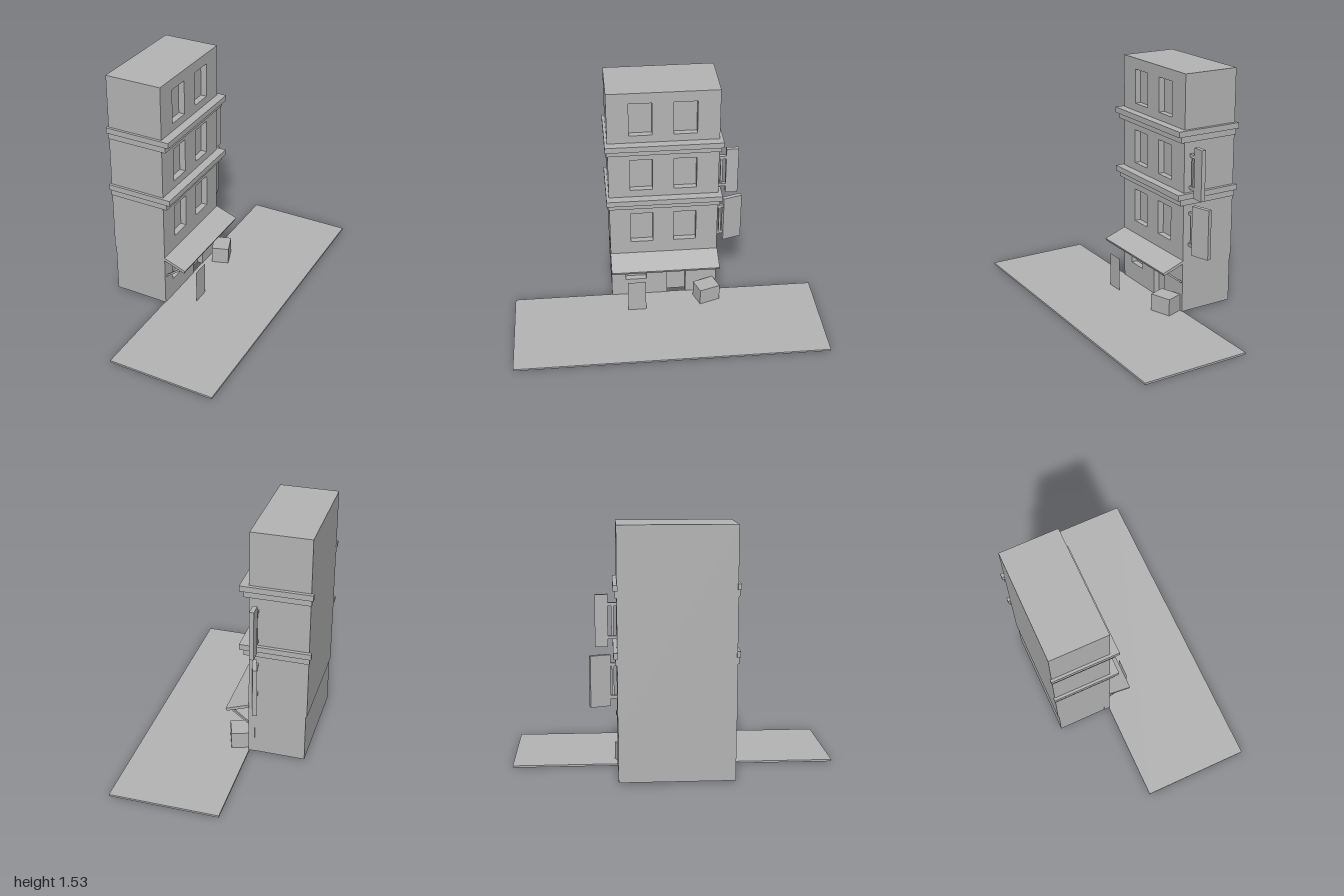
import * as THREE from 'three';

export function createModel() {
  const model = new THREE.Group();
  const grey = new THREE.MeshStandardMaterial({ color: 0xb4b4b4 });
  grey.name = 'plainGrey';
  grey.side = THREE.DoubleSide;

  const add = (name, geometry, parent = model) => {
    const mesh = new THREE.Mesh(geometry, grey);
    mesh.name = name;
    parent.add(mesh);
    return mesh;
  };
  // Box given by its extents on each axis
  const box = (name, x0, x1, y0, y1, z0, z1, parent) => {
    const mesh = add(name, new THREE.BoxGeometry(x1 - x0, y1 - y0, z1 - z0), parent);
    mesh.position.set((x0 + x1) / 2, (y0 + y1) / 2, (z0 + z1) / 2);
    return mesh;
  };
  // Outline in x and y, extruded along z
  const prism = (name, points, z0, z1) => {
    const shape = new THREE.Shape(points.map(([x, y]) => new THREE.Vector2(x, y)));
    const mesh = add(name, new THREE.ExtrudeGeometry(shape, { depth: z1 - z0, bevelEnabled: false }));
    mesh.position.z = z0;
    return mesh;
  };

  // Pavement and building core
  box('street', -0.155, 0.53, 0, 0.012, -1, 1);
  box('groundFloor', -0.51, -0.19, 0.01, 0.33, -0.348, 0.348);
  box('upperFloors', -0.517, -0.19, 0.33, 1.53, -0.35, 0.35);

  // Street facade with a doorway and recessed windows; shape x runs along -z
  const facade = new THREE.Shape([
    [-0.35, 0.01], [0.02, 0.01], [0.02, 0.275], [0.145, 0.272], [0.145, 0.01],
    [0.35, 0.01], [0.35, 1.53], [-0.35, 1.53],
  ].map(([x, y]) => new THREE.Vector2(x, y)));
  const cutWindow = (x0, x1, y0, y1) => facade.holes.push(new THREE.Path([
    new THREE.Vector2(x0, y0), new THREE.Vector2(x0, y1),
    new THREE.Vector2(x1, y1), new THREE.Vector2(x1, y0),
  ]));
  for (const y of [0.445, 0.845, 1.24]) {
    cutWindow(-0.214, -0.07, y, y + 0.22);
    cutWindow(0.064, 0.21, y, y + 0.22);
  }
  cutWindow(-0.255, -0.118, 0.135, 0.24);
  const front = add('facade', new THREE.ExtrudeGeometry(facade, { depth: 0.04, bevelEnabled: false }));
  front.rotation.y = Math.PI / 2;
  front.position.x = -0.19;

  // Two-step cornices wrapping the front and both sides
  for (const y of [0.72, 1.115]) {
    const cornice = new THREE.Group();
    cornice.name = 'cornice';
    model.add(cornice);
    const layer = (y0, y1, xFront, zLeft, zRight, backLeft, backRight) => {
      box('corniceFront', -0.15, xFront, y0, y1, zRight, zLeft, cornice);
      box('corniceLeft', backLeft, -0.15, y0, y1, 0.345, zLeft, cornice);
      box('corniceRight', backRight, -0.15, y0, y1, zRight, -0.345, cornice);
    };
    layer(y, y + 0.04, -0.12, 0.358, -0.36, -0.517, -0.522);
    layer(y + 0.04, y + 0.076, -0.095, 0.367, -0.372, -0.525, -0.533);
  }

  // Sloping awning with diagonal struts
  prism('awning', [[-0.152, 0.337], [-0.01, 0.286], [-0.003, 0.303], [-0.152, 0.357]], -0.355, 0.352);
  for (const z of [0.325, -0.335])
    prism('awningStrut', [[-0.152, 0.2], [-0.03, 0.293], [-0.045, 0.299], [-0.152, 0.213]], z - 0.006, z + 0.006);

  // Turned crate and standing panel on the pavement
  const crate = add('crate', new THREE.BoxGeometry(0.112, 0.11, 0.143));
  crate.position.set(-0.073, 0.067, -0.278);
  crate.rotation.y = 0.34;
  const panel = add('standingPanel', new THREE.PlaneGeometry(0.118, 0.224));
  panel.position.set(0.02, 0.124, 0.192);
  panel.rotation.y = Math.PI / 2;

  // Projecting signs on wall brackets
  const sign = (y, x, z, depth, turn) => {
    const group = new THREE.Group();
    group.name = 'hangingSign';
    model.add(group);
    const board = add('signBoard', new THREE.BoxGeometry(0.028, 0.32, depth), group);
    board.position.set(x, y, z);
    board.rotation.y = turn;
    for (const dy of [-0.103, 0.1])
      box('signBracket', -0.21, -0.188, y + dy - 0.01, y + dy + 0.01, -0.405, -0.35, group);
    box('signRod', -0.207, -0.192, y - 0.1, y + 0.1, -0.38, -0.366, group);
  };
  sign(0.93, -0.2, -0.44, 0.078, 0);
  sign(0.56, -0.213, -0.452, 0.127, 0.3);

  return model;
}
